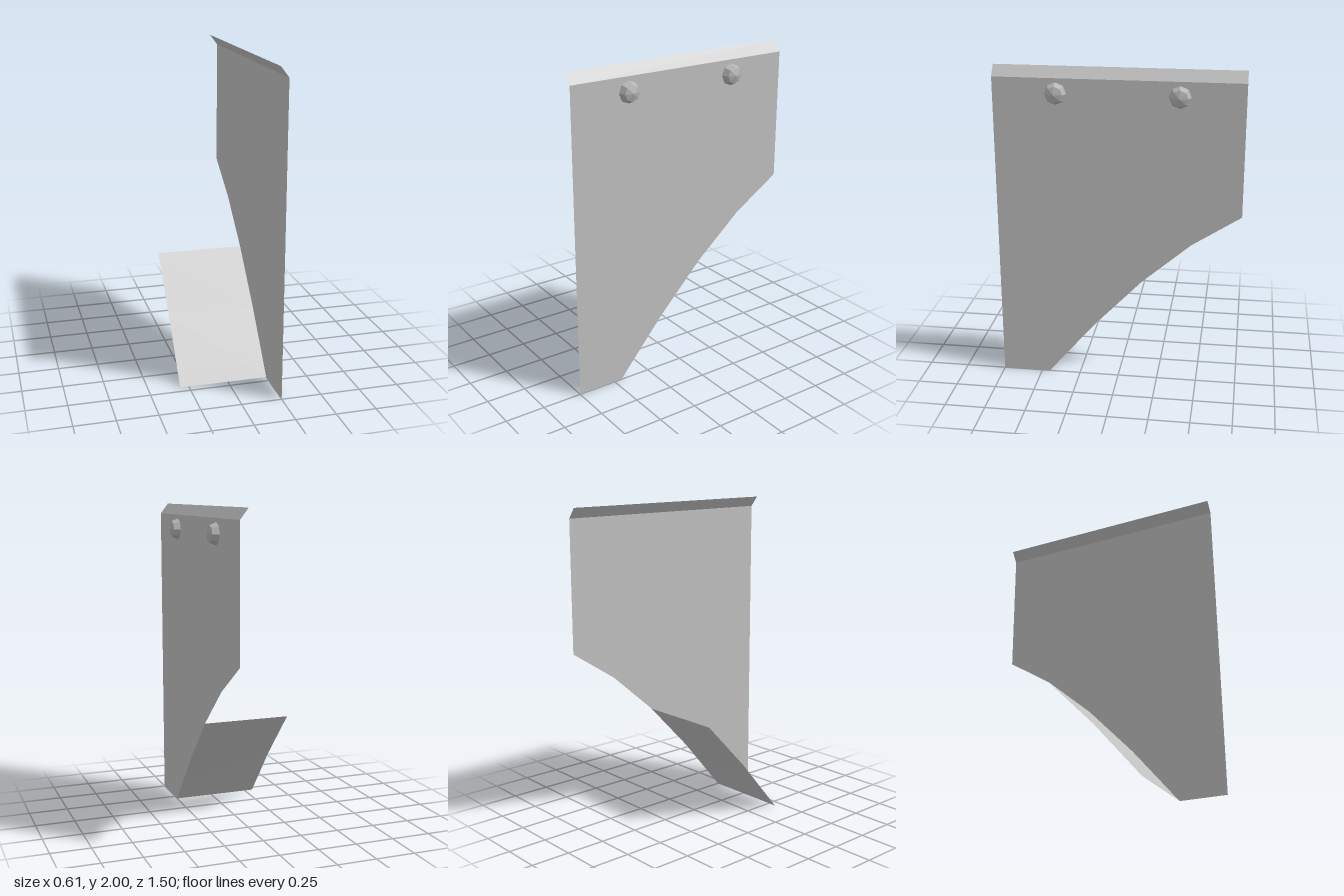
import * as THREE from 'three';

const sheetMetal = new THREE.MeshStandardMaterial({ color: 0xc0c0c0, side: THREE.DoubleSide });
sheetMetal.name = 'sheet metal';
const boltMetal = new THREE.MeshStandardMaterial({ color: 0xb4b4b4, flatShading: true });
boltMetal.name = 'bolt metal';

const PLATE_X = 0.25, BACK_X = -0.305, HALF = 0.75, FOLD_Y = 1.935;
// Curved lower edge of the side plate as [z, y]
const lowerEdge = [[0.45, 0], [0.15, 0.355], [-0.15, 0.67], [-0.45, 0.93], [-0.75, 1.125]];

// Thin sheet between two matching rows of points
function sheet(rowA, rowB) {
  const positions = [], index = [];
  rowA.forEach((a, i) => {
    positions.push(...a, ...rowB[i]);
    if (i > 0) {
      const k = 2 * i;
      index.push(k - 2, k - 1, k, k - 1, k + 1, k);
    }
  });
  const g = new THREE.BufferGeometry();
  g.setAttribute('position', new THREE.Float32BufferAttribute(positions, 3));
  g.setIndex(index);
  g.computeVertexNormals();
  return g;
}

export function createModel() {
  const model = new THREE.Group();
  const add = (name, geometry, material) => {
    const mesh = new THREE.Mesh(geometry, material);
    mesh.name = name;
    model.add(mesh);
    return mesh;
  };

  // Side plate, drawn with -z running to the right and turned to face +x
  const outline = [[HALF, FOLD_Y], [HALF, 0], ...lowerEdge, [-HALF, FOLD_Y]];
  const shape = new THREE.Shape(outline.map(([z, y]) => new THREE.Vector2(-z, y)));
  add('sidePlate', new THREE.ShapeGeometry(shape).rotateY(Math.PI / 2).translate(PLATE_X, 0, 0), sheetMetal);

  // Folded lip along the top
  add('topLip', sheet(
    [[0.2, 2, HALF], [0.2, 2, -HALF]],
    [[PLATE_X, FOLD_Y, HALF], [PLATE_X, FOLD_Y, -HALF]]
  ), sheetMetal);

  // Sloping flap that follows the first part of the lower edge
  const flapEdge = lowerEdge.slice(0, 3);
  add('lowerFlap', sheet(
    flapEdge.map(([z, y]) => [PLATE_X, y, z]).reverse(),
    flapEdge.map(([z, y]) => [BACK_X, y, z]).reverse()
  ), sheetMetal);

  // Two eight-sided domed bolt heads
  const profile = [[0.067, 0], [0.05, 0.04], [0, 0.055]].map(([r, h]) => new THREE.Vector2(r, h));
  const boltGeometry = new THREE.LatheGeometry(profile, 8).rotateZ(-Math.PI / 2);
  for (const [name, z] of [['frontBolt', 0.37], ['rearBolt', -0.365]]) {
    add(name, boltGeometry, boltMetal).position.set(PLATE_X, 1.844, z);
  }

  return model;
}
